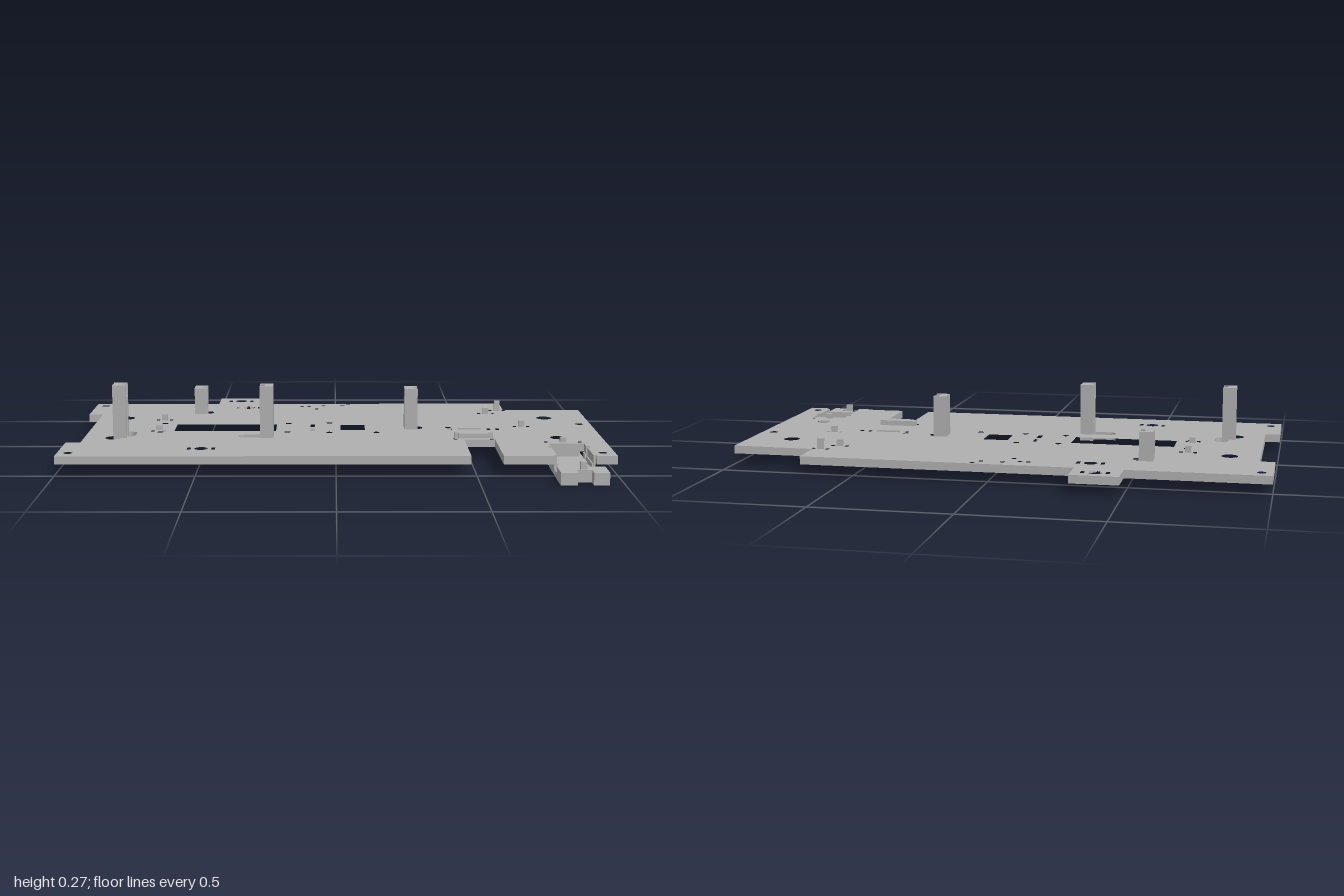
import * as THREE from 'three';

const grey = new THREE.MeshStandardMaterial({ color: 0xb0b0b0 });
grey.name = 'matte grey';

// Plan coordinates are (x, z); shapes are drawn with z negated, then laid flat.
const outline = (pts, Type = THREE.Shape) =>
  new Type(pts.map(([x, z]) => new THREE.Vector2(x, -z)));
const rect = (x0, x1, z0, z1, Type) =>
  outline([[x0, z0], [x1, z0], [x1, z1], [x0, z1]], Type);

function slab(group, name, shape, y0, y1) {
  const geo = new THREE.ExtrudeGeometry(shape, { depth: y1 - y0, bevelEnabled: false, curveSegments: 20 });
  geo.rotateX(-Math.PI / 2);
  geo.translate(0, y0, 0);
  const mesh = new THREE.Mesh(geo, grey);
  mesh.name = name;
  group.add(mesh);
}

function block(group, name, x0, x1, y0, y1, z0, z1) {
  const mesh = new THREE.Mesh(new THREE.BoxGeometry(x1 - x0, y1 - y0, z1 - z0), grey);
  mesh.position.set((x0 + x1) / 2, (y0 + y1) / 2, (z0 + z1) / 2);
  mesh.name = name;
  group.add(mesh);
}

function basePlate(group) {
  const plate = outline([
    [-1, -0.53], [-0.49, -0.53], [-0.49, -0.65], [-0.315, -0.65], [-0.315, -0.53],
    [0.69, -0.53], [0.69, -0.385], [1, -0.385], [1, 0.49],
    // recess for the front bracket
    [0.925, 0.49], [0.925, 0.475], [0.915, 0.475], [0.915, 0.35], [0.925, 0.35], [0.925, 0.32], [0.915, 0.32],
    [0.915, 0.275], [0.785, 0.275], [0.785, 0.32], [0.775, 0.32], [0.775, 0.35], [0.785, 0.35],
    [0.785, 0.475], [0.775, 0.475], [0.775, 0.49],
    // front slot and left notch
    [0.595, 0.49], [0.595, 0.2], [0.48, 0.2], [0.48, 0.49],
    [-1, 0.49], [-1, 0.25], [-0.945, 0.25], [-0.945, -0.29], [-1, -0.29],
  ]);
  const hole = (x, z, r) => {
    const p = new THREE.Path();
    p.absarc(x, -z, r, 0, Math.PI * 2, true);
    plate.holes.push(p);
  };
  const cut = (x, z, w, d) =>
    plate.holes.push(rect(x - w / 2, x + w / 2, z - d / 2, z + d / 2, THREE.Path));

  // corner, mounting and pin holes
  [[-0.96, -0.48], [-0.96, 0.435], [0.955, -0.09], [0.955, 0.435]].forEach(([x, z]) => hole(x, z, 0.016));
  for (const x of [-0.835, 0.835]) for (const z of [-0.215, 0.17]) hole(x, z, 0.03);
  [[-0.67, -0.105], [-0.67, 0.062], [-0.185, -0.105], [-0.025, -0.115], [-0.185, 0.062],
    [-0.025, 0.07], [0.155, 0.07], [0.435, -0.02]].forEach(([x, z]) => hole(x, z, 0.012));
  [[-0.14, -0.465], [-0.11, -0.465], [-0.05, -0.482], [0.028, -0.482], [0.053, -0.517], [-0.078, -0.413]]
    .forEach(([x, z]) => hole(x, z, 0.009));

  // windows
  cut(-0.425, -0.02, 0.39, 0.12);
  cut(0.065, -0.023, 0.094, 0.104);
  cut(-0.09, -0.055, 0.016, 0.05);
  cut(-0.09, 0.022, 0.016, 0.05);

  // round holes with a slit on each side
  [[-0.4, -0.595], [-0.36, -0.44], [-0.49, 0.36]].forEach(([x, z]) => {
    hole(x, z, 0.024);
    for (const s of [-1, 1]) cut(x + s * 0.044, z, 0.014, 0.036);
  });

  // slit pairs beside the small clips
  [[-0.68, -0.175, 0.026], [-0.68, 0.043, 0.022], [0.61, -0.31, 0.027], [0.663, -0.38, 0.027],
    [0.722, -0.04, 0.026], [0.84, 0.25, 0.063], [0.515, 0.01, 0.074], [0.515, 0.188, 0.068]]
    .forEach(([x, z, dx]) => { for (const s of [-1, 1]) cut(x + s * dx, z, 0.013, 0.024); });
  cut(0.623, 0.01, 0.014, 0.024);

  // holes and slots beside the posts
  hole(-0.522, -0.335, 0.025);
  hole(0.312, -0.02, 0.025);
  const slot = (ax, az, bx, bz, r) => {
    const p = new THREE.Path();
    const a = Math.atan2(-(bz - az), bx - ax);
    p.absarc(bx, -bz, r, a - Math.PI / 2, a + Math.PI / 2, false);
    p.absarc(ax, -az, r, a + Math.PI / 2, a + Math.PI * 1.5, false);
    plate.holes.push(p);
  };
  slot(-0.785, 0.08, -0.785, 0.122, 0.027);
  slot(-0.343, 0.14, -0.29, 0.14, 0.027);
  slab(group, 'basePlate', plate, 0.04, 0.07);
}

// Upright post with a round groove on one side and two windows near the top
function post(group, x, z, top, dir) {
  const g = new THREE.Group();
  const w = 0.025, d = 0.033, r = 0.019;
  const plan = new THREE.Shape();
  plan.moveTo(-w, -d);
  plan.lineTo(w, -d);
  plan.lineTo(w, -r);
  plan.absarc(w, 0, r, -Math.PI / 2, Math.PI / 2, true);
  plan.lineTo(w, d);
  plan.lineTo(-w, d);
  const winLow = top - 0.05, winHigh = top - 0.017;
  slab(g, 'postShaft', plan, 0.045, winLow);
  slab(g, 'postCap', plan, winHigh, top);
  block(g, 'postWeb', -w, 0.004, winLow, winHigh, -0.017, 0.017);
  for (const s of [-1, 1]) block(g, 'postSide', -w, w, winLow, winHigh, s * 0.031 - 0.002, s * 0.031 + 0.002);
  g.position.set(x, 0, z);
  if (dir < 0) g.rotation.y = Math.PI;
  g.name = 'post';
  group.add(g);
}

// Small upright clip with a hooked lip
function clip(group, x, z, top) {
  const g = new THREE.Group();
  block(g, 'clipStem', -0.011, 0.011, 0.065, top, -0.007, 0.007);
  block(g, 'clipLip', -0.011, 0.011, top - 0.012, top, 0, 0.011);
  g.position.set(x, 0, z);
  g.name = 'clip';
  group.add(g);
}

function frontBracket(group) {
  const g = new THREE.Group();
  g.name = 'frontBracket';
  block(g, 'bracketFloor', 0.788, 0.912, 0, 0.02, 0.2, 0.55);
  block(g, 'bracketBack', 0.8, 0.9, 0, 0.04, 0.2, 0.275);
  for (const s of [-1, 1]) {
    const x = 0.85 + s * 0.067;
    block(g, 'bracketRail', x - 0.007, x + 0.007, 0, 0.04, 0.285, 0.323);
    block(g, 'bracketRail', x - 0.007, x + 0.007, 0, 0.04, 0.355, 0.475);
    block(g, 'bracketRail', x - 0.007, x + 0.007, 0, 0.02, 0.49, 0.55);
  }
  // fork at the front end
  const fork = outline([[0.775, 0.545], [0.945, 0.545], [0.945, 0.643], [0.89, 0.643], [0.89, 0.6],
    [0.835, 0.6], [0.835, 0.643], [0.775, 0.643]]);
  for (const x of [0.842, 0.882]) fork.holes.push(rect(x - 0.008, x + 0.008, 0.573, 0.592, THREE.Path));
  slab(g, 'bracketFork', fork, 0, 0.045);
  block(g, 'bracketHook', 0.851, 0.873, 0.04, 0.072, 0.576, 0.596);
  group.add(g);
}

export function createModel() {
  const model = new THREE.Group();
  model.name = 'mountingPlate';
  basePlate(model);

  post(model, -0.81, 0.14, 0.27, 1);
  post(model, -0.26, 0.14, 0.265, -1);
  post(model, 0.29, -0.02, 0.228, 1);
  post(model, -0.547, -0.335, 0.176, 1);

  [[-0.68, -0.175, 0.095], [-0.68, 0.02, 0.09], [0.61, -0.31, 0.095], [0.663, -0.377, 0.11],
    [0.722, -0.04, 0.095], [0.84, 0.25, 0.09]].forEach(([x, z, top]) => clip(model, x, z, top));

  // raised bar behind the front slot and the low strip beyond it
  block(model, 'raisedBar', 0.445, 0.59, 0.065, 0.09, 0.145, 0.175);
  block(model, 'raisedBarLip', 0.46, 0.57, 0.065, 0.09, 0.17, 0.187);
  block(model, 'lowStrip', 0.47, 0.56, 0.065, 0.076, 0.002, 0.018);
  frontBracket(model);
  return model;
}
